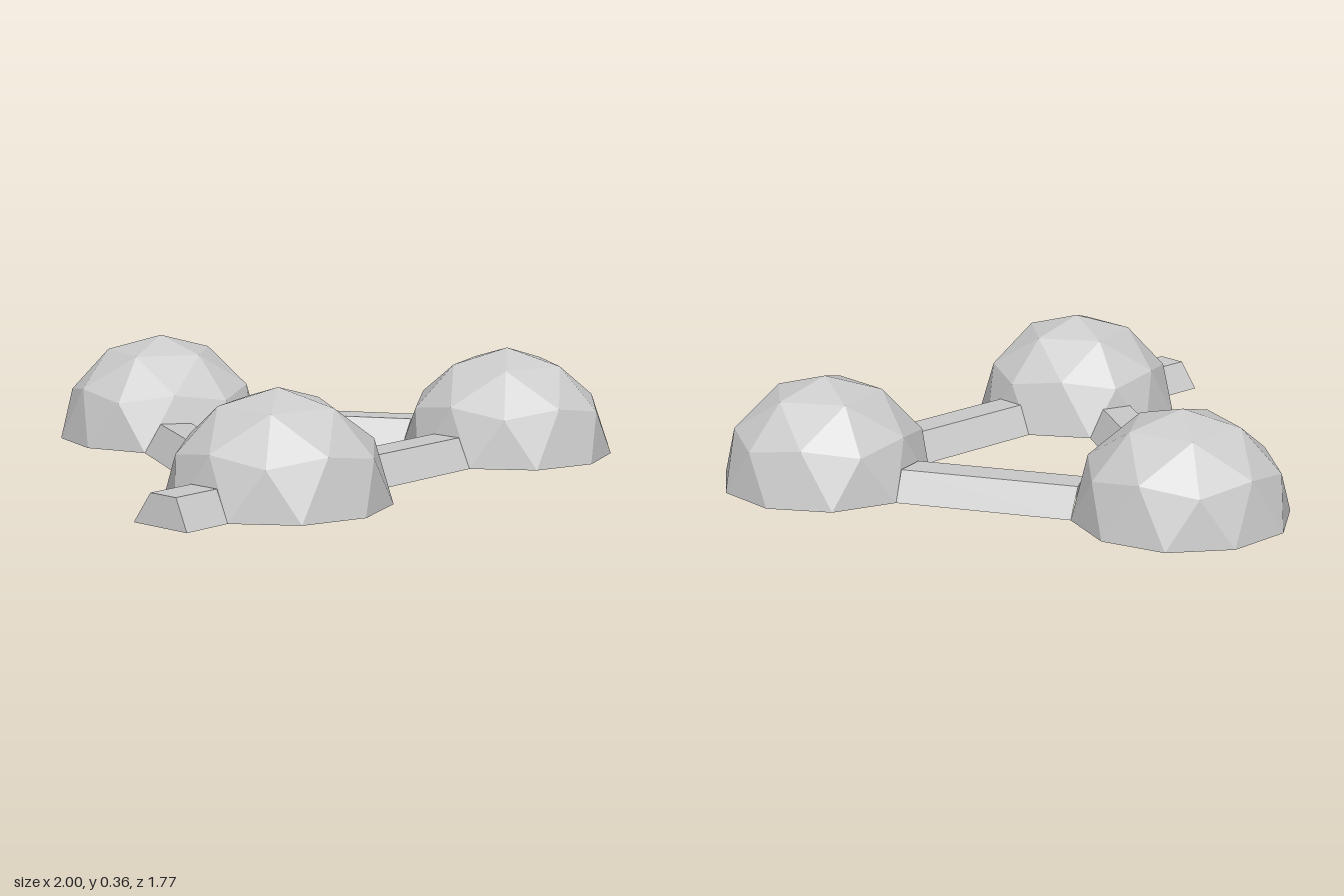
import * as THREE from 'three';

const R = 0.356, BEAM_H = 0.095;
const material = new THREE.MeshStandardMaterial({ color: 0xcccccc, flatShading: true, side: THREE.DoubleSide });

const polar = (deg, r, y) => {
  const a = THREE.MathUtils.degToRad(deg);
  return new THREE.Vector3(Math.cos(a) * r, y, Math.sin(a) * r);
};

// Flat-shaded mesh from a list of corner triples
function facetMesh(name, corners) {
  const geometry = new THREE.BufferGeometry().setFromPoints(corners);
  geometry.computeVertexNormals();
  const mesh = new THREE.Mesh(geometry, material);
  mesh.name = name;
  return mesh;
}

// Open half of a two-frequency geodesic sphere, with a decagon rim
function dome(name, centre, turn) {
  const apex = new THREE.Vector3(0, R, 0);
  const upper = (k) => polar(turn + 72 * k, 0.526 * R, 0.851 * R);
  const middle = (j) => (j % 2 === 0
    ? polar(turn + 36 * j, 0.894 * R, 0.447 * R)
    : polar(turn + 36 * j, 0.851 * R, 0.526 * R));
  const rim = (j) => polar(turn + 18 + 36 * j, R, 0);
  const tris = [];
  for (let k = 0; k < 5; k++) {
    const m = upper(k), n = upper(k + 1), v = middle(2 * k), e = middle(2 * k + 1), w = middle(2 * k + 2);
    tris.push(apex, n, m, m, e, v, m, n, e, n, w, e);
  }
  for (let j = 0; j < 10; j++) {
    tris.push(middle(j), rim(j), rim(j - 1), middle(j), middle(j + 1), rim(j));
  }
  const mesh = facetMesh(name, tris);
  mesh.position.copy(centre);
  return mesh;
}

// Half-hexagon section standing on one rim edge of a dome
function section(centre, leftDeg, rightDeg) {
  const p = polar(leftDeg, R, 0), q = polar(rightDeg, R, 0);
  const top = (t) => p.clone().lerp(q, t).multiplyScalar(0.96).setY(BEAM_H);
  return [p, top(0.25), top(0.75), q].map((v) => v.add(centre));
}

// Passage lofted between two sections; a closed one gets a floor and an end
function passage(name, a, b, closed = false) {
  const tris = [];
  for (let i = 0; i < (closed ? 4 : 3); i++) {
    const n = (i + 1) % 4;
    tris.push(a[i], a[n], b[n], a[i], b[n], b[i]);
  }
  if (closed) tris.push(b[0], b[1], b[2], b[0], b[2], b[3]);
  return facetMesh(name, tris);
}

export function createModel() {
  const group = new THREE.Group();
  group.name = 'domeCluster';

  const frontRight = new THREE.Vector3(-0.49, 0, 0.53);
  const frontLeft = new THREE.Vector3(0.66, 0, 0.53);
  const back = new THREE.Vector3(0.08, 0, -0.55);
  const stubEnd = new THREE.Vector3(-1 + R * Math.cos(Math.PI / 10), 0, 0.53);

  group.add(
    // Three domes
    dome('frontRightDome', frontRight, 0),
    dome('frontLeftDome', frontLeft, 0),
    dome('backDome', back, 90),
    // Passages joining the domes
    passage('frontPassage', section(frontRight, -18, 18), section(frontLeft, 198, 162)),
    passage('rightPassage', section(frontRight, -90, -54), section(back, 144, 108)),
    passage('leftPassage', section(frontLeft, -126, -90), section(back, 72, 36)),
    // Short entrance stub
    passage('entranceStub', section(frontRight, 162, 198), section(stubEnd, 162, 198), true),
  );
  return group;
}
